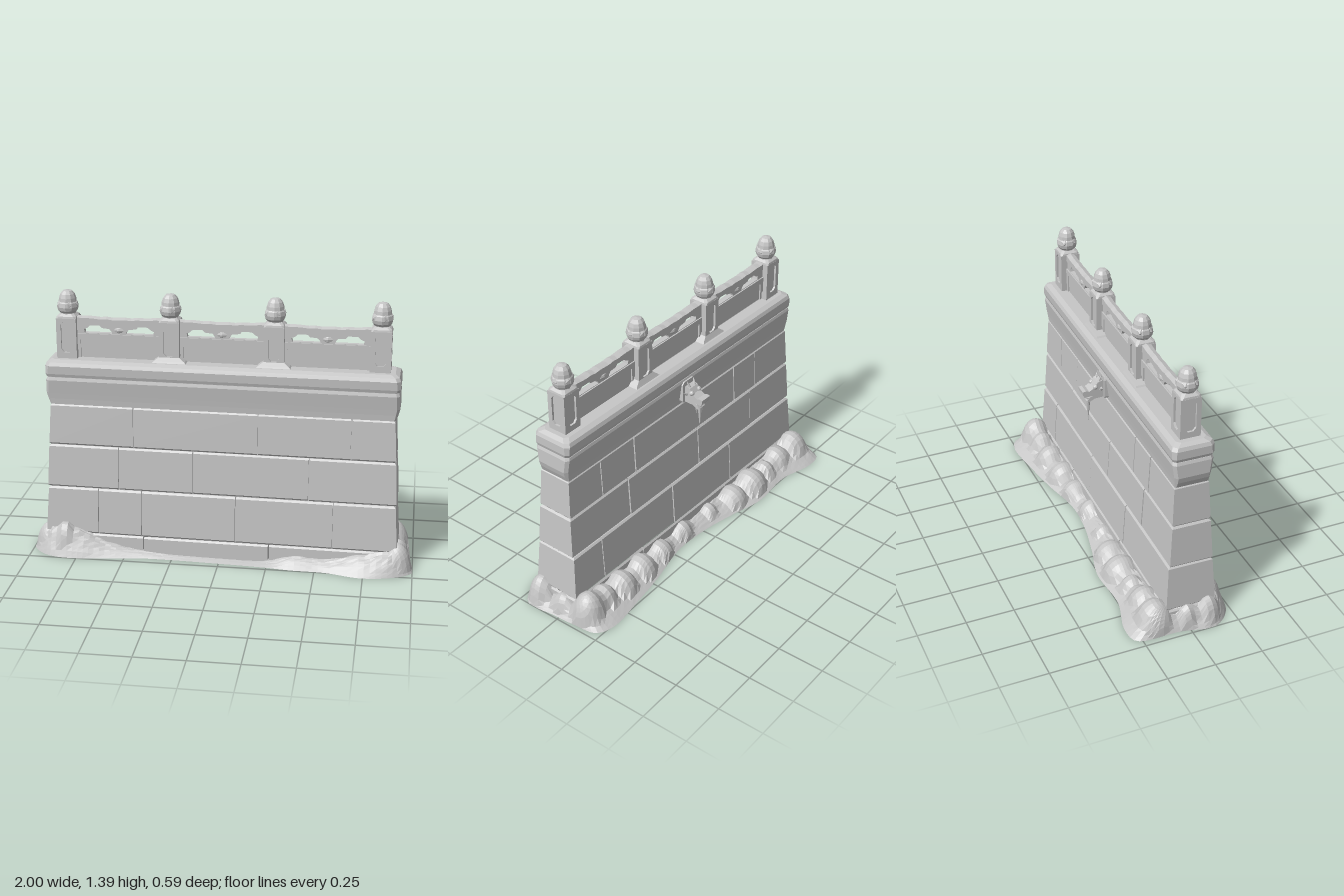
import * as THREE from 'three';

const stone = new THREE.MeshStandardMaterial({ color: 0xc6c6c6, flatShading: true, side: THREE.DoubleSide });
stone.name = 'grey stone';

let seed = 7;
const rand = () => (seed = (seed * 16807) % 2147483647) / 2147483647;
const jitter = (a) => (rand() - 0.5) * 2 * a;

function add(parent, name, geometry, x = 0, y = 0, z = 0) {
  const mesh = new THREE.Mesh(geometry, stone);
  mesh.name = name;
  mesh.position.set(x, y, z);
  parent.add(mesh);
  return mesh;
}

// Skin over rings of points, listed from the bottom up
function loft(rings, caps = true) {
  const n = rings[0].length, index = [];
  for (let r = 0; r < rings.length - 1; r++) {
    for (let i = 0; i < n; i++) {
      const a = r * n + i, b = r * n + (i + 1) % n;
      index.push(a, b, b + n, a, b + n, a + n);
    }
  }
  const top = (rings.length - 1) * n;
  if (caps) for (let i = 1; i < n - 1; i++) index.push(0, i + 1, i, top, top + i, top + i + 1);
  const g = new THREE.BufferGeometry();
  g.setAttribute('position', new THREE.Float32BufferAttribute(rings.flat(2), 3));
  g.setIndex(index);
  g.computeVertexNormals();
  return g;
}

// Horizontal rectangle, with cut corners when c > 0
function rect(y, x0, x1, z0, z1, c = 0) {
  if (!c) return [[x0, y, z1], [x1, y, z1], [x1, y, z0], [x0, y, z0]];
  return [[x0 + c, y, z1], [x1 - c, y, z1], [x1, y, z1 - c], [x1, y, z0 + c],
    [x1 - c, y, z0], [x0 + c, y, z0], [x0, y, z0 + c], [x0, y, z1 - c]];
}
const centred = (y, hx, hz, c) => rect(y, -hx, hx, -hz, hz, c);

function extrude(shape, depth) {
  return new THREE.ExtrudeGeometry(shape, { depth, bevelEnabled: false }).translate(0, 0, -depth / 2);
}
const polygon = (pts) => new THREE.Shape(pts.map(([x, y]) => new THREE.Vector2(x, y)));

// Courses of blocks: y0, y1, half widths, half depths, joints in front and behind
const courses = [
  [0, 0.105, 0.925, 0.925, 0.132, 0.131, [-0.4, 0.26], [-0.3, 0.4]],
  [0.105, 0.355, 0.922, 0.905, 0.13, 0.115, [-0.64, -0.41, 0.085, 0.59], [-0.35, 0.14, 0.7]],
  [0.355, 0.585, 0.91, 0.898, 0.112, 0.099, [-0.53, -0.14, 0.46], [-0.55, -0.09, 0.47]],
  [0.585, 0.805, 0.898, 0.885, 0.099, 0.088, [-0.45, 0.195, 0.67], [-0.6, -0.41, 0.41, 0.66]],
];

function buildWall(wall) {
  add(wall, 'wallCore', loft([centred(0.1, 0.905, 0.112), centred(0.355, 0.893, 0.1), centred(0.9, 0.872, 0.075)]));
  for (const [y0, y1, hx0, hx1, hz0, hz1, front, back] of courses) {
    for (const [side, joints] of [[1, front], [-1, back]]) {
      const edges = [-1, ...joints, 1];
      for (let i = 0; i < edges.length - 1; i++) {
        const bulge = jitter(0.002);
        const ring = (y, t, inset) => {
          const hx = hx0 + (hx1 - hx0) * t - inset;
          const hz = (hz0 + (hz1 - hz0) * t + bulge - inset) * side;
          const a = edges[i] === -1 ? -hx : edges[i] + 0.003;
          const b = edges[i + 1] === 1 ? hx : edges[i + 1] - 0.003;
          return rect(y, a, b, Math.min(0, hz), Math.max(0, hz));
        };
        // The lowest course is hollow and open to the ground
        add(wall, 'wallBlock', loft([ring(y0 + 0.001, 0, 0.008), ring(y0 + 0.01, 0.05, 0),
          ring(y1 - 0.01, 0.95, 0), ring(y1 - 0.001, 1, 0.008)], y0 > 0));
      }
    }
  }
  // Flared band and coping
  add(wall, 'cornice', loft([centred(0.804, 0.885, 0.087, 0.006), centred(0.835, 0.898, 0.09, 0.012),
    centred(0.865, 0.906, 0.094, 0.015), centred(0.935, 0.903, 0.104, 0.015), centred(0.95, 0.897, 0.1, 0.015)]));
  add(wall, 'copingNeck', loft([centred(0.94, 0.888, 0.094), centred(0.965, 0.888, 0.094)]));
  add(wall, 'coping', loft([centred(0.954, 0.9, 0.101, 0.015), centred(0.97, 0.905, 0.106, 0.015),
    centred(1.012, 0.905, 0.108, 0.02), centred(1.03, 0.897, 0.1, 0.02), centred(1.042, 0.875, 0.076, 0.02)]));
}

// Tall plate with a long eight-sided opening
function postFrame(w) {
  const shape = polygon([[-w, 1.04], [w, 1.04], [w, 1.25], [-w, 1.25]]);
  const hole = [[-0.028, 1.09], [-0.014, 1.073], [0.014, 1.073], [0.028, 1.09],
    [0.028, 1.217], [0.014, 1.234], [-0.014, 1.234], [-0.028, 1.217]];
  shape.holes.push(polygon(hole));
  return extrude(shape, 0.012);
}

function buildPost(parent, x) {
  const post = new THREE.Group();
  post.name = 'railingPost';
  post.position.x = x;
  parent.add(post);
  if (Math.abs(x) < 0.5) {
    add(post, 'postFoot', loft([centred(1.035, 0.092, 0.07), centred(1.05, 0.08, 0.062), centred(1.07, 0.053, 0.052)]));
  }
  add(post, 'postCore', loft([centred(1.03, 0.041, 0.041), centred(1.25, 0.041, 0.041)]));
  for (let i = 0; i < 4; i++) {
    const frame = add(post, 'postFrame', postFrame(i % 2 ? 0.04 : 0.052).translate(0, 0, 0.046));
    frame.rotation.y = i * Math.PI / 2;
  }
  add(post, 'postTop', loft([centred(1.248, 0.052, 0.052, 0.006), centred(1.26, 0.05, 0.05, 0.012), centred(1.272, 0.036, 0.036, 0.012)]));
  // Bud-shaped finial wrapped in a collar of petals
  const profile = [[0, 1.262], [0.04, 1.265], [0.04, 1.274], [0.05, 1.286], [0.055, 1.305], [0.051, 1.326],
    [0.046, 1.332], [0.044, 1.35], [0.037, 1.37], [0.024, 1.386], [0, 1.391]];
  add(post, 'finial', new THREE.LatheGeometry(profile.map(([r, y]) => new THREE.Vector2(r, y)), 10));
  for (let i = 0; i < 5; i++) {
    const a = i * Math.PI * 0.4;
    add(post, 'finialPetal', new THREE.IcosahedronGeometry(0.02, 0).scale(1, 1.2, 1), Math.cos(a) * 0.037, 1.315, Math.sin(a) * 0.037);
  }
}

function buildRailing(parent) {
  const railing = new THREE.Group();
  railing.name = 'railing';
  parent.add(railing);
  const spacing = 0.532;
  for (let i = 0; i < 4; i++) buildPost(railing, (i - 1.5) * spacing);
  for (let i = -1; i <= 1; i++) {
    const x = i * spacing, w = 0.225;
    // Pierced panel, with a carved bracket between its two openings
    const shape = polygon([[-w, 1.03], [w, 1.03], [w, 1.23], [-w, 1.23]]);
    for (const s of [-1, 1]) {
      shape.holes.push(polygon([[0.035, 1.171], [0.178, 1.171], [0.182, 1.19], [0.165, 1.197], [0.15, 1.211],
        [0.1, 1.211], [0.09, 1.199], [0.05, 1.195], [0.04, 1.183]].map(([px, py]) => [px * s, py])));
    }
    add(railing, 'railingPanel', extrude(shape, 0.028), x);
    const border = polygon([[-w, 1.03], [w, 1.03], [w, 1.168], [-w, 1.168]]);
    border.holes.push(polygon([[-0.2, 1.042], [0.2, 1.042], [0.2, 1.135], [0.17, 1.15], [-0.17, 1.15], [-0.2, 1.135]]));
    add(railing, 'panelBorder', extrude(border, 0.042), x);
    add(railing, 'bracket', new THREE.SphereGeometry(0.035, 8, 6).scale(1, 0.6, 0.6), x, 1.19, 0);
    // Handrail, worn down towards its middle
    const rail = new THREE.BoxGeometry(2 * w, 0.038, 0.046, 14, 1, 2);
    const p = rail.attributes.position;
    for (let k = 0; k < p.count; k++) {
      const px = p.getX(k), crown = Math.abs(p.getZ(k)) < 0.001 ? 0.004 : -0.004;
      if (p.getY(k) > 0) p.setY(k, p.getY(k) + crown - 0.007 * Math.cos(px * 7) + 0.002 * Math.sin(px * 75));
    }
    add(railing, 'handrail', rail, x, 1.238, 0);
  }
}

// Beast-head waterspout on the back; its side outlines are turned to run along -z
function buildSpout(parent) {
  const spout = new THREE.Group();
  spout.name = 'waterspout';
  spout.position.z = -0.098;
  parent.add(spout);
  const plate = polygon([[-0.042, 0.82], [0.042, 0.82], [0.048, 0.83], [0.048, 0.925], [0.035, 0.94], [-0.035, 0.94], [-0.048, 0.925], [-0.048, 0.83]]);
  add(spout, 'spoutPlate', extrude(plate, 0.026));
  const slab = (name, pts, width) => add(spout, name, extrude(polygon(pts), width).rotateY(Math.PI / 2));
  slab('head', [[0, 0.825], [0.05, 0.822], [0.07, 0.84], [0.115, 0.838], [0.123, 0.85], [0.125, 0.871], [0.108, 0.874],
    [0.09, 0.868], [0.062, 0.885], [0.045, 0.912], [0.02, 0.92], [0, 0.9]], 0.064);
  slab('lowerJaw', [[0.02, 0.826], [0.06, 0.815], [0.09, 0.8], [0.1, 0.808], [0.085, 0.828], [0.04, 0.842]], 0.048);
  for (const s of [-1, 1]) {
    add(spout, 'eye', new THREE.IcosahedronGeometry(0.014, 1), s * 0.028, 0.888, -0.055);
    const horn = add(spout, 'horn', new THREE.ConeGeometry(0.013, 0.06, 6), s * 0.022, 0.923, -0.03);
    horn.rotation.set(0.3, 0, -s * 0.2);
    const ear = add(spout, 'ear', new THREE.ConeGeometry(0.016, 0.045, 5), s * 0.038, 0.878, -0.025);
    ear.rotation.z = -s * 1.1;
  }
  for (const [x, z, r, h] of [[0, 0.086, 0.014, 0.15], [0.015, 0.075, 0.009, 0.06], [-0.014, 0.09, 0.008, 0.05]]) {
    add(spout, 'icicle', new THREE.ConeGeometry(r, h, 7).rotateX(Math.PI), x, 0.825 - h / 2, -z);
  }
}

// Ground outline: x, z and the height of the drift against the wall
const drift = [
  [-0.97, -0.05, 0.1], [-1, 0.12, 0.11], [-0.92, 0.22, 0.13], [-0.8, 0.25, 0.15], [-0.6, 0.23, 0.07],
  [-0.4, 0.205, 0.03], [0, 0.215, 0.014], [0.25, 0.23, 0.02], [0.38, 0.245, 0.055], [0.55, 0.25, 0.05], [0.75, 0.29, 0.09],
  [0.93, 0.25, 0.12], [1, 0.19, 0.11], [0.99, 0.05, 0.08], [0.98, -0.1, 0.09], [0.96, -0.22, 0.1],
  [0.88, -0.26, 0.09], [0.65, -0.24, 0.07], [0.45, -0.21, 0.06], [0.2, -0.16, 0.05], [0, -0.17, 0.05],
  [-0.2, -0.21, 0.06], [-0.4, -0.26, 0.07], [-0.65, -0.25, 0.08], [-0.85, -0.3, 0.1], [-0.95, -0.28, 0.1],
];
// Rubble rising out of the drift: x, z, radius, height
const boulders = [
  [-0.87, -0.15, 0.1, 0.15], [-0.73, -0.14, 0.09, 0.12], [-0.6, -0.15, 0.07, 0.1], [-0.46, -0.15, 0.1, 0.12],
  [-0.3, -0.14, 0.09, 0.1], [-0.12, -0.11, 0.06, 0.08], [0.1, -0.09, 0.07, 0.09], [0.3, -0.1, 0.08, 0.09],
  [0.47, -0.11, 0.09, 0.11], [0.64, -0.12, 0.09, 0.12], [0.78, -0.12, 0.08, 0.13], [0.89, -0.12, 0.09, 0.16],
  [0.92, 0.02, 0.06, 0.11], [0.92, 0.16, 0.075, 0.15], [-0.92, 0, 0.06, 0.12], [-0.92, 0.11, 0.07, 0.14], [-0.82, 0.16, 0.07, 0.17],
];

function buildDrift(group) {
  const curve = new THREE.CatmullRomCurve3(drift.map(([x, z, h]) => new THREE.Vector3(x, h, z)), true);
  const pts = curve.getSpacedPoints(160).slice(0, -1);
  const rings = [0, 0.06, 0.14, 0.24, 0.34, 0.44, 0.54, 0.64, 0.74, 0.84, 0.92, 1].map((t) => pts.map((p) => {
    const ix = THREE.MathUtils.clamp(p.x, -0.89, 0.89);
    const iz = 0.043 + ix * 0.022 + THREE.MathUtils.clamp(p.z - 0.043, -0.115, 0.115);
    const x = THREE.MathUtils.clamp(p.x + (ix - p.x) * t, -1, 1), z = p.z + (iz - p.z) * t;
    let y = Math.max(0, p.y) * Math.sin(t * Math.PI / 2) * (1 + jitter(0.06));
    for (const [bx, bz, r, h] of boulders) {
      const d = Math.hypot(x - bx, z - bz) / r;
      if (t > 0 && d < 1) y = Math.max(y, h * Math.sqrt(1 - d * d));
    }
    return [x, y, z];
  }));
  add(group, 'groundDrift', loft(rings, false));
}

export function createModel() {
  const group = new THREE.Group();
  const wall = new THREE.Group();
  wall.name = 'wall';
  wall.position.z = 0.043;
  wall.rotation.y = -0.022;
  group.add(wall);
  buildWall(wall);
  buildRailing(wall);
  buildSpout(wall);
  buildDrift(group);
  return group;
}
